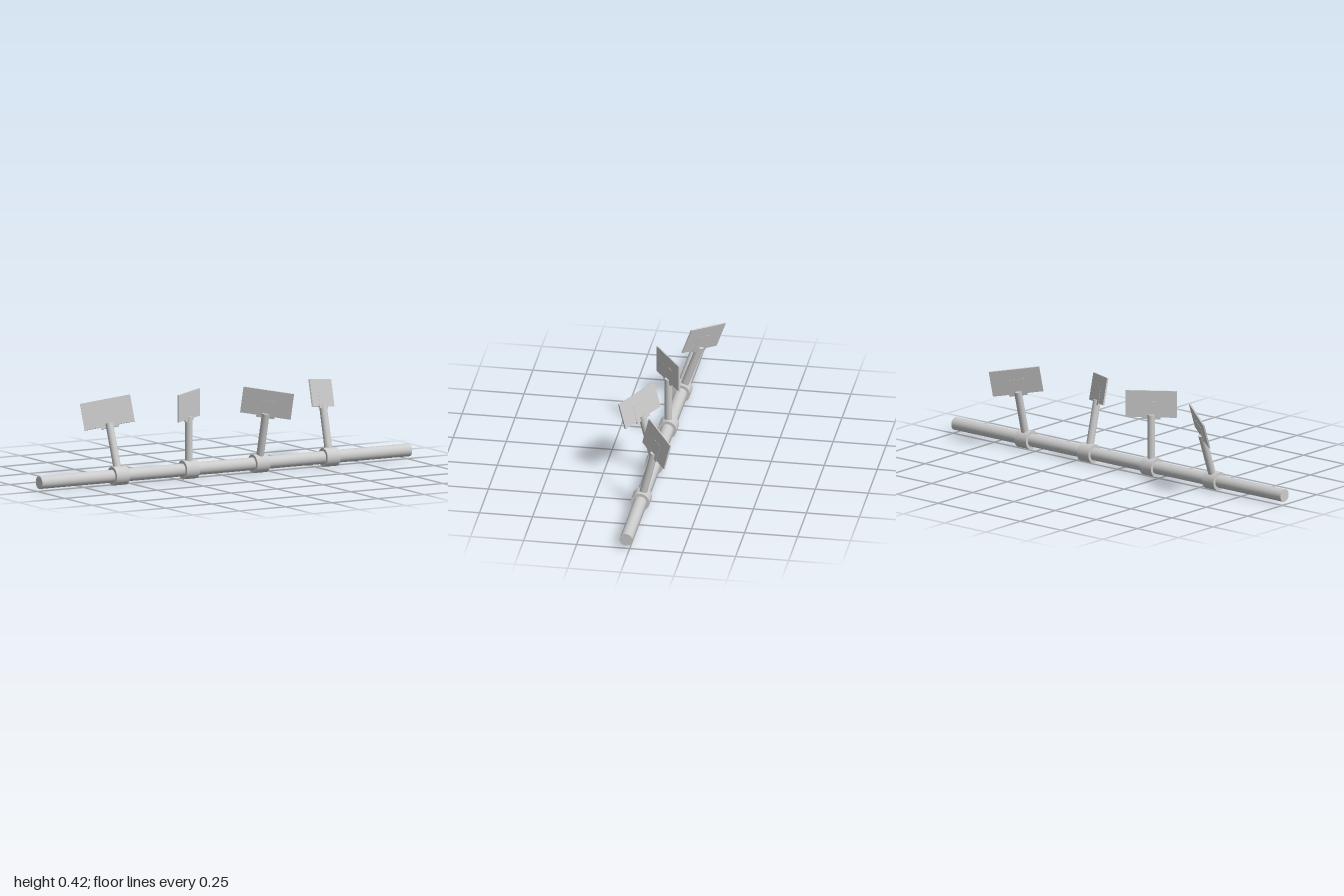
import * as THREE from 'three';

const AXIS_Y = 0.044;
const AXIS_Z = 0.017;
const deg = THREE.MathUtils.degToRad;

export function createModel() {
  const model = new THREE.Group();
  const material = new THREE.MeshStandardMaterial({ color: 0xcccccc });

  const add = (parent, name, geometry) => {
    const mesh = new THREE.Mesh(geometry, material);
    mesh.name = name;
    parent.add(mesh);
    return mesh;
  };

  // Long horizontal bar
  const bar = add(model, 'bar', new THREE.CylinderGeometry(0.03, 0.03, 2, 48));
  bar.rotation.z = Math.PI / 2;
  bar.position.set(0, AXIS_Y, AXIS_Z);

  // Shared shapes of the four paddles
  const collarGeometry = new THREE.CylinderGeometry(0.044, 0.044, 0.07, 48);
  const armGeometry = new THREE.CylinderGeometry(0.018, 0.018, 0.25, 32);
  const bracketGeometry = new THREE.BoxGeometry(0.085, 0.085, 0.009);
  const panelGeometry = new THREE.BoxGeometry(0.238, 0.128, 0.007);

  // Each paddle swings round the bar by tilt, its plate turned about the arm by yaw
  const paddles = [
    { x: -0.57, tilt: -20, yaw: -35 },
    { x: -0.19, tilt: 0, yaw: 35 },
    { x: 0.19, tilt: 14, yaw: -35 },
    { x: 0.57, tilt: -14, yaw: 35 },
  ];

  for (const { x, tilt, yaw } of paddles) {
    const paddle = new THREE.Group();
    paddle.name = 'paddle';
    paddle.position.set(x, AXIS_Y, AXIS_Z);
    paddle.rotation.x = deg(tilt);
    model.add(paddle);

    add(paddle, 'collar', collarGeometry).rotation.z = Math.PI / 2;
    add(paddle, 'arm', armGeometry).position.y = 0.125;

    // Plate with its slightly thicker mounting bracket
    const head = new THREE.Group();
    head.name = 'head';
    head.rotation.y = deg(yaw);
    paddle.add(head);
    add(head, 'bracket', bracketGeometry).position.y = 0.27;
    add(head, 'panel', panelGeometry).position.y = 0.301;
  }

  return model;
}
